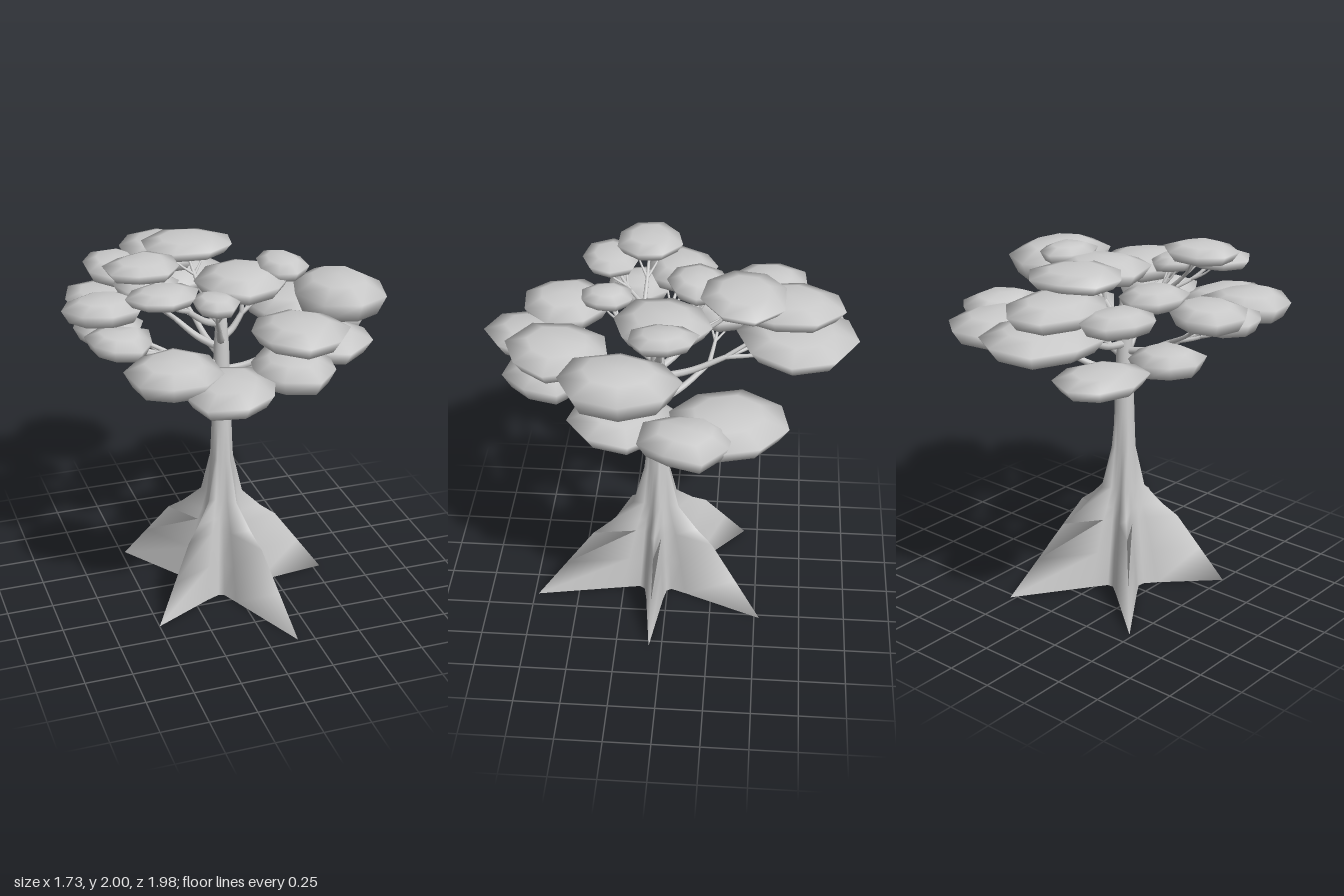
import * as THREE from 'three';
import { mergeVertices } from 'three/addons/utils/BufferGeometryUtils.js';

const CX = -0.045, CZ = 0.06; // trunk axis

// small seeded generator
let seed = 7;
const rand = () => (seed = (seed * 16807) % 2147483647) / 2147483647;

// skin closed rings of [x, y, z] points, ordered upwards
function loft(rings) {
  const n = rings[0].length, index = [];
  for (let i = 0; i < rings.length - 1; i++) {
    for (let j = 0; j < n; j++) {
      const a = i * n + j, b = i * n + (j + 1) % n;
      index.push(a, a + n, b, b, a + n, b + n);
    }
  }
  const g = new THREE.BufferGeometry();
  g.setAttribute('position', new THREE.Float32BufferAttribute(rings.flat(2), 3));
  g.setIndex(index);
  const merged = mergeVertices(g, 1e-4);
  merged.computeVertexNormals();
  return merged;
}

// trunk with five buttress roots, open underneath
function trunkGeometry() {
  // direction in degrees, length
  const roots = [[1, 0.585], [73, 0.70], [145, 0.555], [228, 0.65], [298.5, 0.67]];
  // height, root reach (fraction of length), valley radius
  const levels = [[0, 1, 0.14], [0.2, 0.76, 0.12], [0.39, 0.53, 0.1], [0.46, 0.38, 0.09],
    [0.57, 0.2, 0.078], [0.8, 0.11, 0.06]];
  const shafts = [[1.0, 0.054], [1.22, 0.048], [1.45, 0.04], [1.64, 0.026], [1.65, 0]];
  const blend = [1, 0.15, 0, 0, 0.15], steps = [0, 0.2, 0.4, 0.6, 0.8];
  const ring = (y, radius) => roots.flatMap(([from], k) => {
    const to = k < 4 ? roots[k + 1][0] : roots[0][0] + 360;
    return steps.map((s, m) => {
      const a = THREE.MathUtils.degToRad(from + (to - from) * s), r = radius(k, m);
      return [CX + Math.cos(a) * r, y, CZ + Math.sin(a) * r];
    });
  });
  // the last step of each sector belongs to the next root
  const reach = (k, m) => roots[(k + (m > 2 ? 1 : 0)) % 5][1];
  return loft([
    ...levels.map(([y, f, v]) => ring(y, (k, m) => v + (reach(k, m) * f - v) * blend[m])),
    ...shafts.map(([y, r]) => ring(y, () => r)),
  ]);
}

// irregular leaf cushion: flat below, domed above
function padGeometry(rx, rz, h) {
  const n = 8, turn = rand() * 0.8;
  const wobble = Array.from({ length: n }, () => [0.94 + rand() * 0.16, (rand() - 0.5) * 0.4]);
  const profile = [[0, -0.95], [0.82, -0.95], [1, 0.2], [0.58, 0.82], [0, 1]];
  return loft(profile.map(([r, y]) => wobble.map(([w, dy], j) => {
    const a = turn + j / n * Math.PI * 2;
    return [Math.cos(a) * r * w * rx, (y + dy * r) * h, Math.sin(a) * r * w * rz];
  })));
}

// tube that narrows towards its tip
function limbGeometry(points, r0, r1) {
  const curve = new THREE.CatmullRomCurve3(points), seg = 8, sides = 7;
  const g = new THREE.TubeGeometry(curve, seg, 1, sides, false);
  const p = g.attributes.position, v = new THREE.Vector3();
  for (let i = 0; i <= seg; i++) {
    const c = curve.getPointAt(i / seg), r = r0 + (r1 - r0) * i / seg;
    for (let j = 0; j <= sides; j++) {
      const k = i * (sides + 1) + j;
      v.fromBufferAttribute(p, k).sub(c).multiplyScalar(r).add(c);
      p.setXYZ(k, v.x, v.y, v.z);
    }
  }
  return g;
}

// each limb carries one or two pads: x, y, z, radius x, radius z, half thickness
const LIMBS = [
  [[-0.50, 1.50, -0.67, 0.20, 0.25, 0.05], [-0.57, 1.50, -0.25, 0.18, 0.18, 0.06]],
  [[-0.10, 1.615, -0.67, 0.30, 0.32, 0.065], [-0.18, 1.77, -0.61, 0.22, 0.28, 0.06]],
  [[-0.10, 1.865, -0.38, 0.25, 0.22, 0.045]],
  [[-0.46, 1.74, -0.50, 0.18, 0.20, 0.055], [-0.39, 1.76, -0.13, 0.18, 0.17, 0.05]],
  [[-0.65, 1.695, -0.03, 0.21, 0.20, 0.06], [-0.62, 1.60, 0.20, 0.17, 0.17, 0.055]],
  [[-0.48, 1.955, 0.13, 0.19, 0.17, 0.043], [-0.43, 1.87, 0.33, 0.18, 0.16, 0.04]],
  [[-0.46, 1.57, 0.59, 0.23, 0.24, 0.07], [-0.22, 1.515, 0.73, 0.24, 0.26, 0.06]],
  [[0.15, 1.52, 0.59, 0.22, 0.23, 0.07], [0.20, 1.69, 0.54, 0.25, 0.27, 0.06]],
  [[0.54, 1.73, 0.20, 0.23, 0.30, 0.09], [0.46, 1.475, 0.20, 0.25, 0.25, 0.065]],
  [[0.49, 1.49, -0.33, 0.26, 0.29, 0.07], [0.66, 1.505, -0.14, 0.20, 0.24, 0.07]],
  [[0.08, 1.79, 0.03, 0.24, 0.24, 0.06], [0.30, 1.84, 0.01, 0.13, 0.18, 0.045]],
  [[-0.16, 1.80, 0.33, 0.11, 0.13, 0.04]],
];

export function createModel() {
  const tree = new THREE.Group();
  tree.name = 'tree';
  const material = new THREE.MeshStandardMaterial({ color: 0xcccccc, side: THREE.DoubleSide });
  const add = (name, geometry) => {
    const mesh = new THREE.Mesh(geometry, material);
    mesh.name = name;
    tree.add(mesh);
    return mesh;
  };
  add('trunkAndRoots', trunkGeometry());

  LIMBS.forEach((pads, i) => {
    // limb from the trunk out to a fork halfway to its pads
    const mean = new THREE.Vector3();
    pads.forEach(([x, y, z]) => mean.add(new THREE.Vector3(x, y, z).divideScalar(pads.length)));
    const base = new THREE.Vector3(CX, Math.min(1.58, 1.22 + Math.max(0, mean.y - 1.5) * 0.85), CZ);
    const fork = base.clone().lerp(mean, 0.5);
    fork.y = base.y + (mean.y - base.y) * 0.36;
    const bend = base.clone().lerp(fork, 0.5);
    bend.y -= 0.02;
    add('limb' + (i + 1), limbGeometry([base, bend, fork], 0.022, 0.014));

    pads.forEach(([x, y, z, rx, rz, h]) => {
      add('leafPad', padGeometry(rx, rz, h)).position.set(x, y, z);

      // branch from the fork into the pad, with a twig to each side of it
      const tip = new THREE.Vector3(x, y - h * 0.5, z);
      const elbow = fork.clone().lerp(tip, 0.5);
      elbow.y -= 0.02;
      add('branch', limbGeometry([fork, elbow, tip], 0.013, 0.006));
      const across = new THREE.Vector3(CZ - z, 0, x - CX).normalize();
      for (const side of [-0.5, 0.5]) {
        const end = tip.clone().add(new THREE.Vector3(across.x * rx, 0, across.z * rz).multiplyScalar(side));
        const mid = elbow.clone().lerp(end, 0.5);
        mid.y -= 0.01;
        add('twig', limbGeometry([elbow, mid, end], 0.008, 0.003));
      }
    });
  });
  return tree;
}
